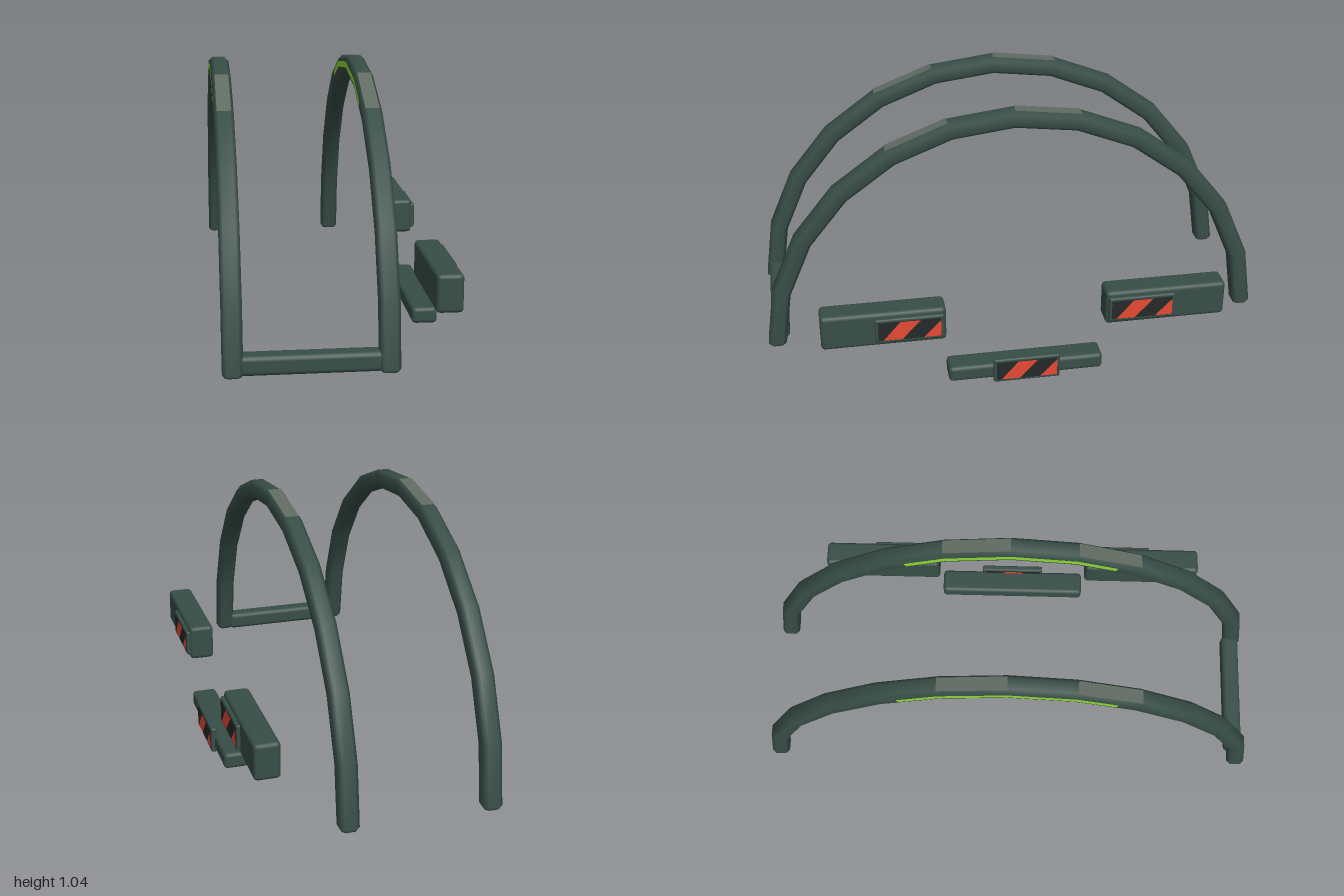
import * as THREE from 'three';
import { RoundedBoxGeometry } from 'three/addons/geometries/RoundedBoxGeometry.js';

const mat = (name, color, extra = {}) => {
  const m = new THREE.MeshStandardMaterial({ color, ...extra });
  m.name = name;
  return m;
};

// Arch centre line: half ellipse in the z-y plane, angle measured from the top
const RZ = 0.964, RY = 0.922, BASE = 0.08, STEP = 15, HALF = 0.036;
const rad = THREE.MathUtils.degToRad;
const corner = (deg) => {
  const a = rad(deg);
  return {
    p: new THREE.Vector3(0, BASE + RY * Math.cos(a), RZ * Math.sin(a)),
    n: new THREE.Vector3(0, RZ * Math.cos(a), RY * Math.sin(a)).normalize(),
  };
};
// Any angle, lying on the straight chord between two corners
const station = (deg) => {
  const lo = Math.floor(deg / STEP) * STEP;
  const a = corner(lo), b = corner(lo + STEP), t = (deg - lo) / STEP;
  return { p: a.p.lerp(b.p, t), n: a.n.lerp(b.n, t).normalize() };
};
const angles = (from, to, step) => {
  const out = [];
  for (let d = from; d <= to; d += step) out.push(d);
  return out;
};

// Sweep of a closed or open section (x, outward) along stations
function sweep(stations, section, closed, capped) {
  const pos = [], idx = [], m = section.length;
  const ring = ({ p, n, s = 1 }) => section.forEach(([x, o]) =>
    pos.push(x * s, p.y + n.y * o * s, p.z + n.z * o * s));
  stations.forEach(ring);
  const cols = closed ? m : m - 1;
  for (let i = 0; i < stations.length - 1; i++) {
    for (let j = 0; j < cols; j++) {
      const k = (j + 1) % m;
      const a = i * m + j, b = i * m + k, c = (i + 1) * m + k, d = (i + 1) * m + j;
      idx.push(a, b, c, a, c, d);
    }
  }
  if (capped) {
    [stations[0], stations[stations.length - 1]].forEach((st, end) => {
      const base = pos.length / 3;
      ring(st);
      for (let j = 1; j < m - 1; j++) {
        if (end) idx.push(base, base + j, base + j + 1);
        else idx.push(base, base + j + 1, base + j);
      }
    });
  }
  const g = new THREE.BufferGeometry();
  g.setAttribute('position', new THREE.Float32BufferAttribute(pos, 3));
  g.setIndex(idx);
  g.computeVertexNormals();
  return g;
}

function archGeometry() {
  const c = HALF - 0.015, h = HALF;
  const section = [[h, -c], [h, c], [c, h], [-c, h], [-h, c], [-h, -c], [-c, -h], [c, -h]];
  const st = angles(-90, 90, STEP).map(corner);
  // bevelled feet
  const foot = (deg) => ({ ...corner(deg), s: 0.8 });
  st[0].p.y += 0.012;
  st[st.length - 1].p.y += 0.012;
  return sweep([foot(-90), ...st, foot(90)], section, true, true);
}

export function createModel() {
  const group = new THREE.Group();
  const green = mat('dark green', 0x384e47);
  const grey = mat('grey patch', 0x606b62, { side: THREE.DoubleSide });
  const lime = mat('lime strip', 0x8fd832, { side: THREE.DoubleSide });
  const black = mat('black panel', 0x25292a);
  const red = mat('red stripe', 0xee4d36, { side: THREE.DoubleSide });

  const add = (parent, name, geo, material, x = 0, y = 0, z = 0) => {
    const mesh = new THREE.Mesh(geo, material);
    mesh.name = name;
    mesh.position.set(x, y, z);
    parent.add(mesh);
    return mesh;
  };

  // Two arches with grey patches on top and a lime strip on one side
  const archGeo = archGeometry();
  const top = HALF + 0.001, side = -HALF - 0.0015;
  const patch = (a, b) => sweep([corner(a), corner(b)], [[0.026, top], [-0.026, top]], false, false);
  const frontPatch = patch(15, 30), backPatch = patch(-15, 0);
  const strip = sweep([-25, -15, 0, 15, 25].map(station), [[side, 0.012], [side, -0.012]], false, false);
  [['rightArch', -0.405], ['leftArch', 0.135]].forEach(([name, x]) => {
    const arch = new THREE.Group();
    arch.name = name;
    arch.position.x = x;
    add(arch, 'archTube', archGeo, green);
    add(arch, 'frontPatch', frontPatch, grey);
    add(arch, 'backPatch', backPatch, grey);
    add(arch, 'sideStrip', strip, lime);
    group.add(arch);
  });

  // Bar joining the front feet
  add(group, 'crossbar', new RoundedBoxGeometry(0.5, 0.072, 0.072, 2, 0.018), green, -0.135, 0.117, 0.95);

  // Striped warning panel facing +x, striped on both faces
  const flat = (pts) => new THREE.ShapeGeometry(new THREE.Shape(pts.map(([u, v]) => new THREE.Vector2(u, v))));
  const band = flat([[-0.102, -0.039], [-0.03, -0.039], [0.043, 0.039], [-0.035, 0.039]]);
  const wedge = flat([[0.052, -0.039], [0.12, -0.039], [0.12, 0.032]]);
  function warningPanel(y, z) {
    const panel = new THREE.Group();
    panel.name = 'warningPanel';
    panel.position.set(0.43, y, z);
    panel.rotation.y = Math.PI / 2;
    add(panel, 'panelFrame', new RoundedBoxGeometry(0.265, 0.104, 0.024, 2, 0.007), green);
    for (const s of [1, -1]) {
      add(panel, 'panelFace', new THREE.BoxGeometry(0.242, 0.08, 0.004), black, 0, 0, s * 0.011);
      add(panel, 'stripe', band, red, 0, 0, s * 0.0142);
      add(panel, 'stripeCorner', wedge, red, 0, 0, s * 0.0142);
    }
    group.add(panel);
  }

  // Side boxes and the low bar, each with its panel
  for (const s of [1, -1]) {
    add(group, s > 0 ? 'frontBox' : 'backBox',
      new RoundedBoxGeometry(0.1, 0.144, 0.48, 2, 0.016), green, 0.378, 0.288, s * 0.553);
    warningPanel(0.288, s * 0.455);
  }
  add(group, 'lowBar', new RoundedBoxGeometry(0.1, 0.065, 0.615, 2, 0.016), green, 0.378, 0.043, 0);
  warningPanel(0.052, 0);

  return group;
}
